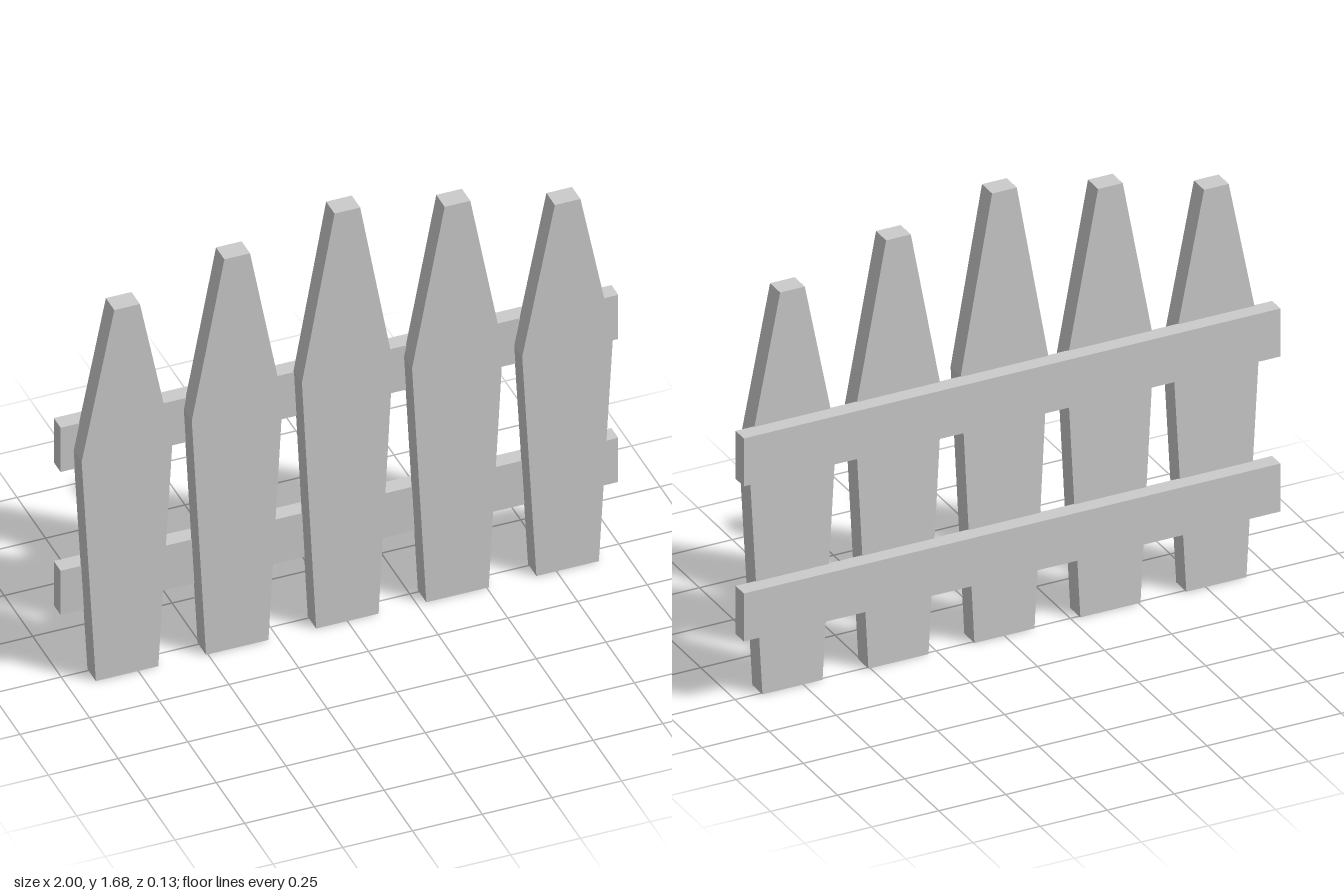
import * as THREE from 'three';

const material = new THREE.MeshStandardMaterial({ color: 0xcccccc, flatShading: true });

// Tapered board: narrow foot, wide shoulder, blunt tip
function picket(height) {
  const shoulder = height * 0.607;
  const shape = new THREE.Shape([
    [-0.112, 0], [0.112, 0], [0.163, shoulder],
    [0.046, height], [-0.046, height], [-0.163, shoulder],
  ].map(([x, y]) => new THREE.Vector2(x, y)));
  return new THREE.ExtrudeGeometry(shape, { depth: 0.074, bevelEnabled: false });
}

export function createModel() {
  const fence = new THREE.Group();
  fence.name = 'picketFence';

  // Pickets, tallest in the middle
  [1.5, 1.6, 1.68, 1.6, 1.5].forEach((height, i) => {
    const mesh = new THREE.Mesh(picket(height), material);
    mesh.name = `picket${i + 1}`;
    mesh.position.set((i - 2) * 0.395, 0, -0.009);
    fence.add(mesh);
  });

  // Rails behind the pickets
  for (const [name, y] of [['lowerRail', 0.341], ['upperRail', 0.926]]) {
    const rail = new THREE.Mesh(new THREE.BoxGeometry(2, 0.181, 0.06), material);
    rail.name = name;
    rail.position.set(0, y, -0.035);
    fence.add(rail);
  }
  return fence;
}
